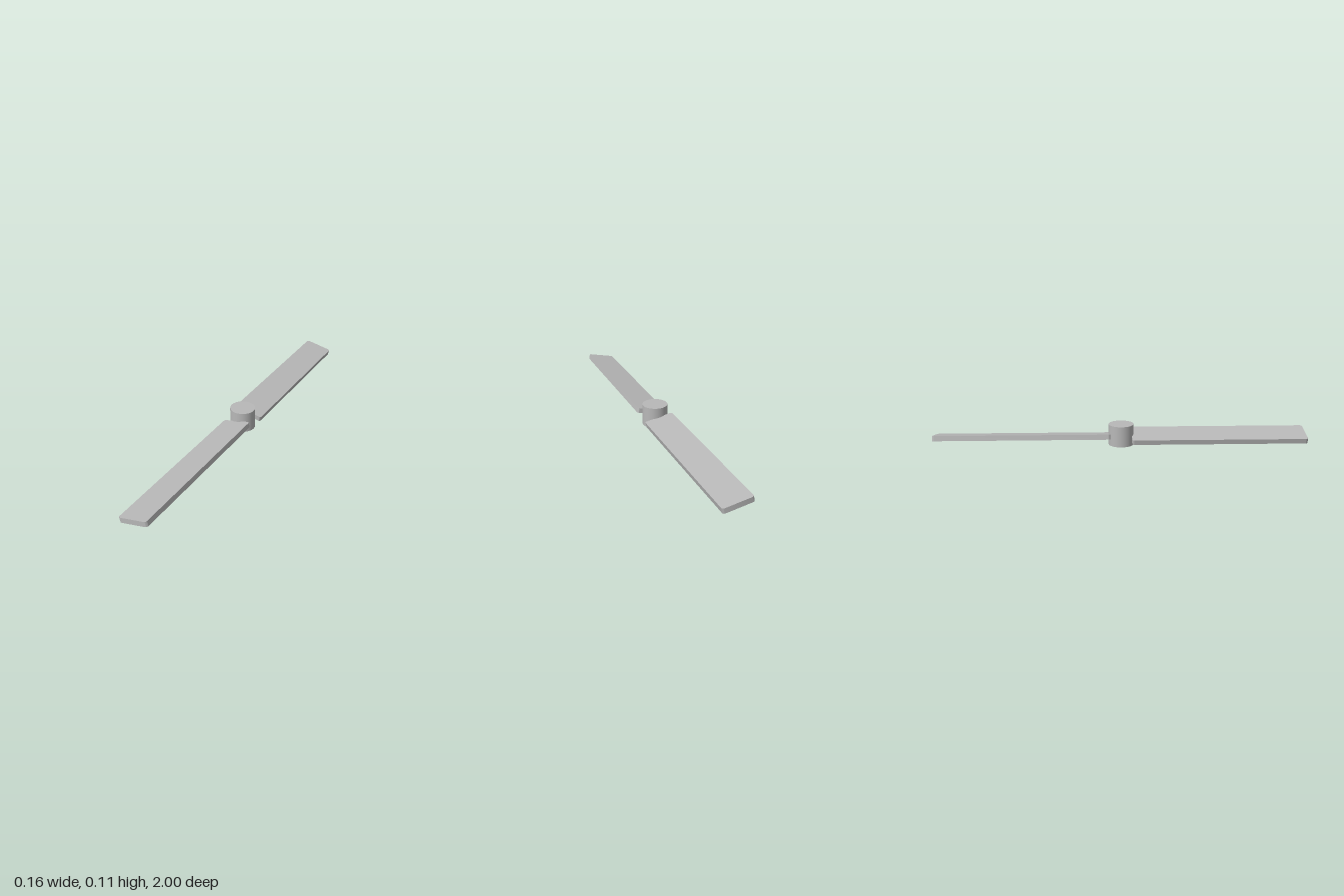
import * as THREE from 'three';
import { toCreasedNormals } from 'three/addons/utils/BufferGeometryUtils.js';

const HUB_RADIUS = 0.067, HUB_HEIGHT = 0.112;
const BLADE_WIDTH = 0.156, BLADE_THICKNESS = 0.027;
const BLADE_START = 0.058, BLADE_END = 1, CORNER = 0.012;
const PITCH = THREE.MathUtils.degToRad(12);

// Flat plate with softly rounded plan corners, lying along z
function bladeGeometry() {
  const w = BLADE_WIDTH / 2, l = (BLADE_END - BLADE_START) / 2, r = CORNER;
  const shape = new THREE.Shape();
  shape.absarc(w - r, l - r, r, 0, Math.PI / 2);
  shape.absarc(-w + r, l - r, r, Math.PI / 2, Math.PI);
  shape.absarc(-w + r, -l + r, r, Math.PI, Math.PI * 1.5);
  shape.absarc(w - r, -l + r, r, Math.PI * 1.5, Math.PI * 2);
  const geometry = new THREE.ExtrudeGeometry(shape, {
    depth: BLADE_THICKNESS, bevelEnabled: false, curveSegments: 8,
  });
  geometry.translate(0, 0, -BLADE_THICKNESS / 2);
  geometry.rotateX(-Math.PI / 2);
  return toCreasedNormals(geometry, Math.PI / 6);
}

export function createModel() {
  const model = new THREE.Group();
  model.name = 'propeller';
  const grey = new THREE.MeshStandardMaterial({ color: 0xb8b8b8 });
  grey.name = 'grey';

  // Central hub
  const hub = new THREE.Mesh(
    new THREE.CylinderGeometry(HUB_RADIUS, HUB_RADIUS, HUB_HEIGHT, 64), grey);
  hub.name = 'hub';
  hub.position.y = HUB_HEIGHT / 2;
  model.add(hub);

  // Two pitched blades, half a turn apart
  const geometry = bladeGeometry();
  ['frontBlade', 'backBlade'].forEach((name, i) => {
    const arm = new THREE.Group();
    arm.name = name;
    arm.rotation.y = i * Math.PI;
    const blade = new THREE.Mesh(geometry, grey);
    blade.name = name + 'Plate';
    blade.position.set(0, 0.045, (BLADE_START + BLADE_END) / 2);
    blade.rotation.z = PITCH;
    arm.add(blade);
    model.add(arm);
  });
  return model;
}
